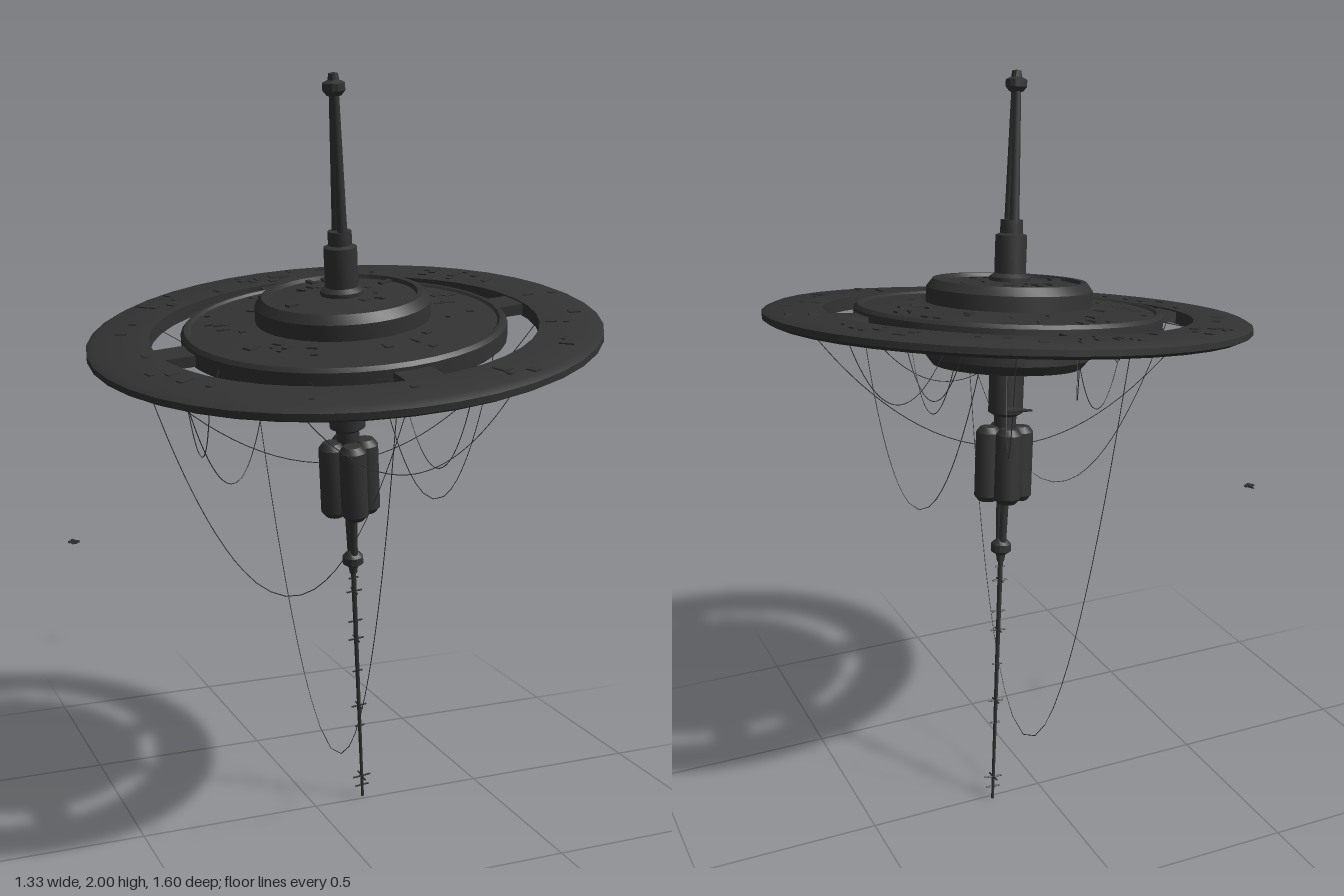
import * as THREE from 'three';
import { toCreasedNormals } from 'three/addons/utils/BufferGeometryUtils.js';

export function createModel() {
  const model = new THREE.Group();
  model.name = 'spaceStation';
  const hull = new THREE.MeshStandardMaterial({ color: 0x333333 });
  hull.name = 'dark hull grey';

  // The station's axis leans; its local origin is the centre of the ring
  const station = new THREE.Group();
  station.name = 'station';
  station.position.set(0.0135, 1.365, 0.156);
  station.quaternion.setFromUnitVectors(
    new THREE.Vector3(0, 1, 0), new THREE.Vector3(-0.2, 2, 0.25).normalize());
  model.add(station);

  const add = (name, geo, x = 0, y = 0, z = 0, parent = station) => {
    const m = new THREE.Mesh(geo, hull);
    m.name = name;
    m.position.set(x, y, z);
    parent.add(m);
    return m;
  };
  const lathe = (name, pts, seg) => add(name, toCreasedNormals(
    new THREE.LatheGeometry(pts.map(p => new THREE.Vector2(p[0], p[1])), seg), 0.5));
  const rod = (name, a, b, r0, r1 = r0, seg = 8) => {
    const d = new THREE.Vector3().subVectors(b, a);
    const m = add(name, new THREE.CylinderGeometry(r1, r0, d.length(), seg));
    m.position.copy(a).addScaledVector(d, 0.5);
    m.quaternion.setFromUnitVectors(new THREE.Vector3(0, 1, 0), d.normalize());
    return m;
  };
  const V = (x, y, z) => new THREE.Vector3(x, y, z);

  // Outer ring with bevelled edges
  lathe('outerRing', [[0.492, -0.018], [0.63, -0.018], [0.65, -0.008], [0.65, 0.008],
    [0.63, 0.018], [0.492, 0.018], [0.492, -0.018]], 40);

  // Main disc with a raised rim
  lathe('mainDisc', [[0, -0.042], [0.22, -0.042], [0.395, -0.03], [0.412, -0.018],
    [0.412, 0.022], [0.404, 0.032], [0.394, 0.032], [0.388, 0.026], [0.22, 0.04], [0, 0.04]], 40);

  // Hub drums above and below, with recessed faces
  lathe('upperHub', [[0.222, 0.03], [0.222, 0.08], [0.205, 0.102], [0.19, 0.102],
    [0.186, 0.092], [0.06, 0.1], [0, 0.1]], 36);
  lathe('lowerHub', [[0, -0.118], [0.18, -0.114], [0.186, -0.125], [0.202, -0.125],
    [0.222, -0.1], [0.222, -0.03]], 36);

  // Four spokes joining disc and ring
  for (let i = 0; i < 4; i++) {
    const a = i * Math.PI / 2;
    const s = add('spoke', new THREE.BoxGeometry(0.13, 0.028, 0.095),
      Math.cos(a) * 0.45, 0, Math.sin(a) * 0.45);
    s.rotation.y = -a;
  }

  // Small surface panels on ring, disc and hub
  let seed = 7;
  const rnd = () => (seed = (seed * 16807) % 2147483647) / 2147483647;
  const panels = (name, n, r0, r1, yAt) => {
    for (let i = 0; i < n; i++) {
      const a = rnd() * Math.PI * 2, r = r0 + rnd() * (r1 - r0);
      const p = add(name, new THREE.BoxGeometry(0.01 + rnd() * 0.03, 0.006, 0.008 + rnd() * 0.02),
        Math.cos(a) * r, yAt(r), Math.sin(a) * r);
      p.rotation.y = -a;
    }
  };
  panels('ringPanel', 50, 0.52, 0.61, () => 0.018);
  panels('discPanel', 40, 0.25, 0.37, r => 0.04 - (r - 0.22) * 0.083);
  panels('hubPanel', 14, 0.08, 0.165, () => 0.098);
  panels('undersidePanel', 20, 0.25, 0.37, r => -0.042 + (r - 0.22) * 0.069);

  // Upper column and collars
  lathe('upperColumn', [[0.055, 0.095], [0.055, 0.11], [0.042, 0.12], [0.042, 0.22],
    [0.03, 0.225], [0.03, 0.26], [0, 0.26]], 16);

  // Twin mast converging on a tip node
  for (const s of [-1, 1])
    rod('mastStrut', V(0, 0.25, s * 0.017), V(0, 0.6, s * 0.008), 0.014, 0.01);
  lathe('mastTip', [[0, 0.585], [0.018, 0.588], [0.028, 0.6], [0.028, 0.618],
    [0.014, 0.625], [0.012, 0.64], [0, 0.643]], 12);

  // Lower column narrowing into the tank bay
  lathe('lowerColumn', [[0, -0.295], [0.03, -0.292], [0.03, -0.265], [0.047, -0.255],
    [0.047, -0.15], [0.055, -0.14], [0.055, -0.115]], 16);
  lathe('tankCore', [[0, -0.5], [0.025, -0.5], [0.025, -0.28], [0, -0.28]], 10);

  // Cluster of four capsule tanks
  for (let i = 0; i < 4; i++) {
    const a = i * Math.PI / 2 + 0.15;
    lathe('tank', [[0, -0.503], [0.024, -0.5], [0.036, -0.485], [0.036, -0.31],
      [0.024, -0.294], [0, -0.291]], 14).position.set(Math.cos(a) * 0.044, 0, Math.sin(a) * 0.044);
  }

  // Lower boom struts and node
  for (const s of [-1, 1])
    rod('boomStrut', V(0, -0.48, s * 0.016), V(0, -0.64, s * 0.01), 0.012, 0.01);
  lathe('boomNode', [[0, -0.68], [0.01, -0.675], [0.013, -0.655], [0.028, -0.645],
    [0.028, -0.625], [0.016, -0.612], [0, -0.61]], 12);

  // Long needle antenna with crossbars
  rod('needle', V(0, -0.66, 0), V(0, -1.382, 0), 0.007, 0.004, 6);
  [[-0.69, 0.014], [-0.73, 0.022], [-0.82, 0.02], [-0.875, 0.022], [-0.975, 0.014],
    [-1.085, 0.022], [-1.15, 0.014], [-1.315, 0.026], [-1.345, 0.02]].forEach(([y, r], i) => {
    rod('crossbar', V(-r, y, 0), V(r, y, 0), 0.0025, 0.0025, 5);
    if (i % 2) rod('crossbar', V(0, y, -r), V(0, y, r), 0.0025, 0.0025, 5);
  });

  // Slack cables: x, z of each end on the underside, then sag
  const cables = [
    [-0.09, 0.52, -0.09, -0.52, 1.18], [-0.55, 0.1, -0.06, 0.52, 0.52],
    [0.36, 0.15, 0.13, -0.16, 0.49], [-0.54, -0.05, 0.54, 0.06, 0.33],
    [-0.5, 0.25, -0.22, 0.05, 0.27], [0.1, 0.52, 0.14, -0.02, 0.28],
    [0.02, -0.04, 0.2, -0.5, 0.3], [-0.49, 0.22, -0.45, 0.28, 0.15],
    [0.3, -0.42, 0.4, -0.3, 0.13], [0.5, -0.15, 0.2, -0.1, 0.18],
    [-0.3, 0.42, 0.3, 0.42, 0.22], [0, -0.42, 0.05, -0.53, 0.12]];
  for (const [x0, z0, x1, z1, sag] of cables) {
    const pts = [];
    for (let i = 0; i <= 12; i++) {
      const t = i / 12;
      pts.push(V(x0 + (x1 - x0) * t, -0.02 - sag * 4 * t * (1 - t), z0 + (z1 - z0) * t));
    }
    add('slackCable', new THREE.TubeGeometry(new THREE.CatmullRomCurve3(pts), 32, 0.0012, 4));
  }

  // Taut lines across the gap between disc and ring
  for (const [a, b] of [[3.4, 3.75], [3.55, 4.2], [4.5, 4.1], [4.9, 5.3], [5.6, 5.75], [2.8, 2.6], [2.2, 2.0], [1.9, 1.4]])
    rod('tautLine', V(Math.cos(a) * 0.4, 0, Math.sin(a) * 0.4),
      V(Math.cos(b) * 0.5, 0, Math.sin(b) * 0.5), 0.0012, 0.0012, 4);

  // Two small wedge-shaped shuttles nearby
  const shuttle = (x, y, z, yaw, len) => {
    const g = new THREE.Group();
    g.name = 'shuttle';
    g.position.set(x, y, z);
    g.rotation.y = yaw;
    model.add(g);
    const body = add('shuttleBody', new THREE.CylinderGeometry(0.003, 0.011, len, 6), 0, 0, 0, g);
    body.rotation.z = Math.PI / 2;
    body.scale.x = 0.55;
    add('shuttleWing', new THREE.BoxGeometry(len * 0.35, 0.004, 0.028), len * 0.28, 0, 0, g);
  };
  shuttle(0.4, 1.455, -0.782, -0.45, 0.05);
  shuttle(-0.657, 0.835, -0.035, -1.57, 0.03);

  return model;
}
